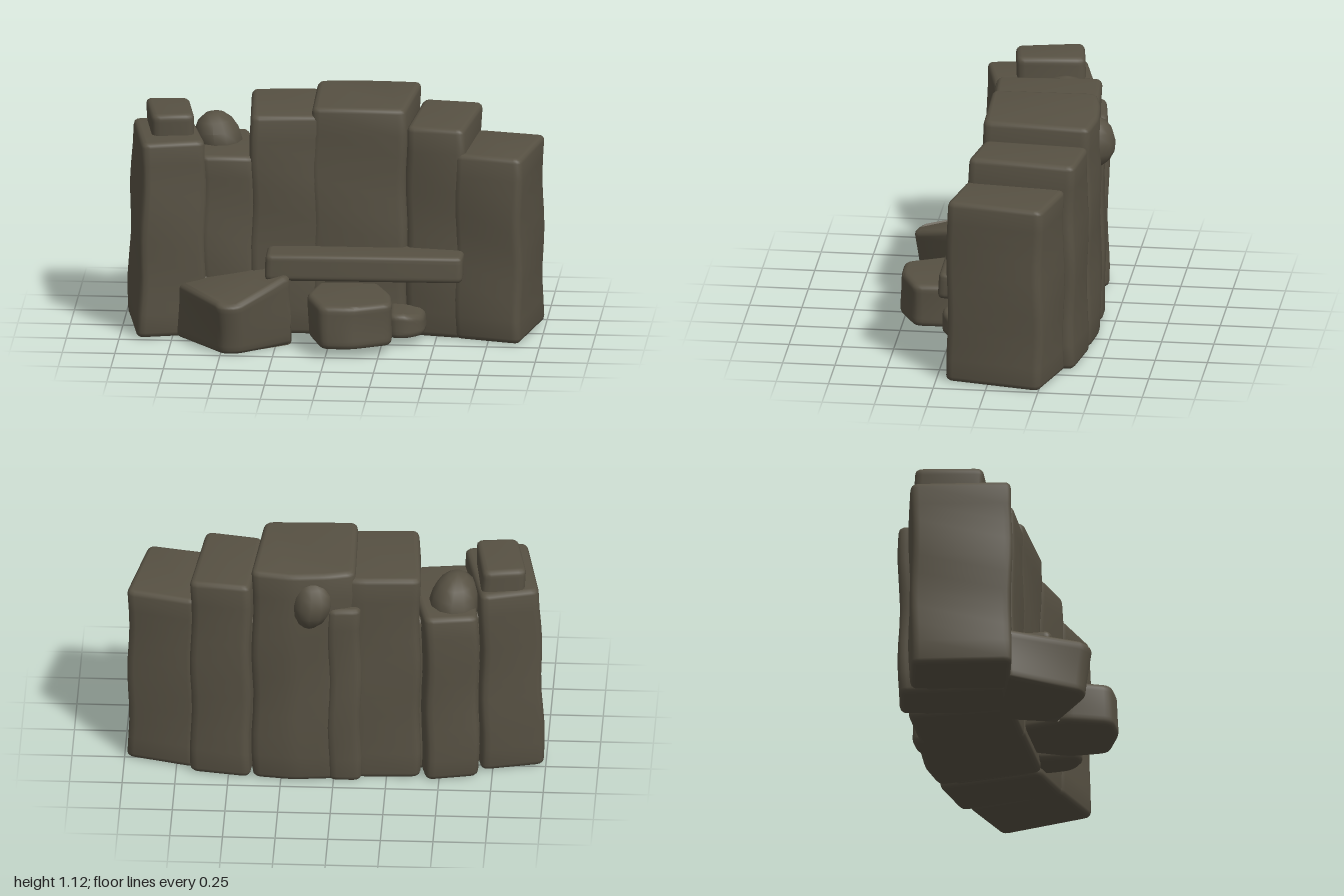
import * as THREE from 'three';
import { toCreasedNormals } from 'three/addons/utils/BufferGeometryUtils.js';

// Outline through [x, z] corners, each corner rounded by radius r
function roundedOutline(pts, r) {
  const v = pts.map(([x, z]) => new THREE.Vector2(x, -z));
  const shape = new THREE.Shape();
  v.forEach((p, i) => {
    const prev = v[(i + v.length - 1) % v.length], next = v[(i + 1) % v.length];
    const toward = (q) => p.clone().add(q.clone().sub(p).setLength(Math.min(r, p.distanceTo(q) * 0.4)));
    const a = toward(prev), b = toward(next);
    if (i === 0) shape.moveTo(a.x, a.y); else shape.lineTo(a.x, a.y);
    shape.quadraticCurveTo(p.x, p.y, b.x, b.y);
  });
  shape.closePath();
  return shape;
}

// Gentle unevenness of weathered stone
function weather(geo, amount) {
  const p = geo.attributes.position;
  for (let i = 0; i < p.count; i++) {
    const x = p.getX(i), y = p.getY(i), z = p.getZ(i);
    p.setX(i, x + amount * Math.sin(13 * y + 5 * z + 3 * x));
    p.setZ(i, z + amount * Math.sin(11 * y + 7 * x + 1));
    if (y > 0.03) p.setY(i, y + amount * 0.6 * Math.sin(9 * x + 8 * z));
  }
}

export function createModel() {
  const model = new THREE.Group();
  model.name = 'rockWall';
  const stone = new THREE.MeshStandardMaterial({ color: 0x575143 });
  stone.name = 'darkStone';

  const add = (name, geo, amount = 0.005) => {
    weather(geo, amount);
    const mesh = new THREE.Mesh(toCreasedNormals(geo, 0.8), stone);
    mesh.name = name;
    model.add(mesh);
  };

  // Upright stone with footprint pts between y0 and y1; reshape moves its vertices
  function block(name, pts, y0, y1, { bevel = 0.025, reshape } = {}) {
    const geo = new THREE.ExtrudeGeometry(roundedOutline(pts, bevel * 1.6), {
      depth: y1 - y0 - 2 * bevel, steps: 10, curveSegments: 3,
      bevelThickness: bevel, bevelSize: bevel, bevelOffset: -bevel, bevelSegments: 3,
    });
    geo.rotateX(-Math.PI / 2).translate(0, y0 + bevel, 0);
    if (reshape) {
      const p = geo.attributes.position, v = new THREE.Vector3();
      for (let i = 0; i < p.count; i++) {
        reshape(v.fromBufferAttribute(p, i));
        p.setXYZ(i, v.x, v.y, v.z);
      }
    }
    add(name, geo);
  }

  // Curved row of tall columns, from the left end (+x) to the right end (-x)
  block('leftEndColumn', [[0.66, -0.345], [0.99, -0.26], [0.905, 0.205], [0.58, 0.13]], 0, 0.91);
  block('leftColumn', [[0.4, -0.425], [0.685, -0.38], [0.63, 0.135], [0.35, 0.08]], 0, 1.03);
  block('centreLeftColumn', [[-0.1, -0.4], [0.03, -0.435], [0.2, -0.45], [0.39, -0.42], [0.35, 0.09], [-0.1, 0.1]],
    0, 1.115);
  block('narrowBackColumn', [[-0.13, -0.44], [0.03, -0.445], [0.03, -0.2], [-0.13, -0.2]], 0, 0.93);
  block('centreRightColumn', [[-0.41, -0.385], [-0.11, -0.405], [0, -0.38], [0, 0.09], [-0.385, 0.12]], 0, 1.075);
  block('rightColumn', [[-0.69, -0.37], [-0.44, -0.415], [-0.36, -0.1], [-0.36, 0.11], [-0.62, 0.14]], 0, 0.875);
  block('rightEndColumn', [[-1, -0.24], [-0.7, -0.315], [-0.59, 0.15], [-0.91, 0.23]], 0, 0.955,
    { reshape: (v) => { v.x += 0.025 * v.y * (v.x < -0.8 ? 1 : 0); } });

  // Solid core closing the seams between columns
  block('wallCore', [[-0.85, -0.2], [-0.4, -0.32], [0.4, -0.35], [0.85, -0.22], [0.75, 0.1], [0.4, 0.04],
    [-0.4, 0.06], [-0.75, 0.12]], 0.01, 0.82);

  // Stones resting on the right-hand columns
  block('capStone', [[-0.91, -0.24], [-0.7, -0.275], [-0.65, 0.05], [-0.85, 0.08]], 0.88, 1.06);
  add('roundCapStone', new THREE.SphereGeometry(1, 12, 8).scale(0.12, 0.15, 0.145).translate(-0.57, 0.865, -0.21), 0.012);

  // Lump jutting from the back
  add('backLump', new THREE.SphereGeometry(1, 12, 8).scale(0.1, 0.13, 0.12).translate(0.11, 0.955, -0.39), 0.01);

  // Ledge across the front
  block('frontLedge', [[-0.3, 0.03], [0.63, 0.03], [0.63, 0.272], [-0.3, 0.28]], 0.31, 0.437, { bevel: 0.02 });

  // Boulders at the foot of the wall
  block('largeBoulder', [[-0.74, 0.16], [-0.5, 0.515], [-0.42, 0.515], [-0.17, 0.31], [-0.28, 0]], 0, 0.34, {
    reshape: (v) => {
      const t = v.y / 0.34;
      v.y *= 1 - 0.28 * THREE.MathUtils.smoothstep(v.z, 0.32, 0.52);
      v.y *= 1 - 0.25 * THREE.MathUtils.smoothstep(-v.x, 0.58, 0.72);
      v.z -= 0.03 * (1 - t) * (v.z > 0.3 ? 1 : 0);
    },
  });
  block('smallBoulder', [[-0.1, 0.3], [-0.02, 0.515], [0.13, 0.515], [0.315, 0.43], [0.3, 0.24], [0.22, 0.06], [-0.06, 0.06]],
    0.045, 0.255);
  block('pebble', [[0.27, 0.06], [0.29, 0.29], [0.38, 0.29], [0.45, 0.22], [0.45, 0.06]], 0.04, 0.16,
    { reshape: (v) => { v.y -= 0.25 * Math.max(0, v.x - 0.36) * (v.y > 0.1 ? 1 : 0); } });

  return model;
}
